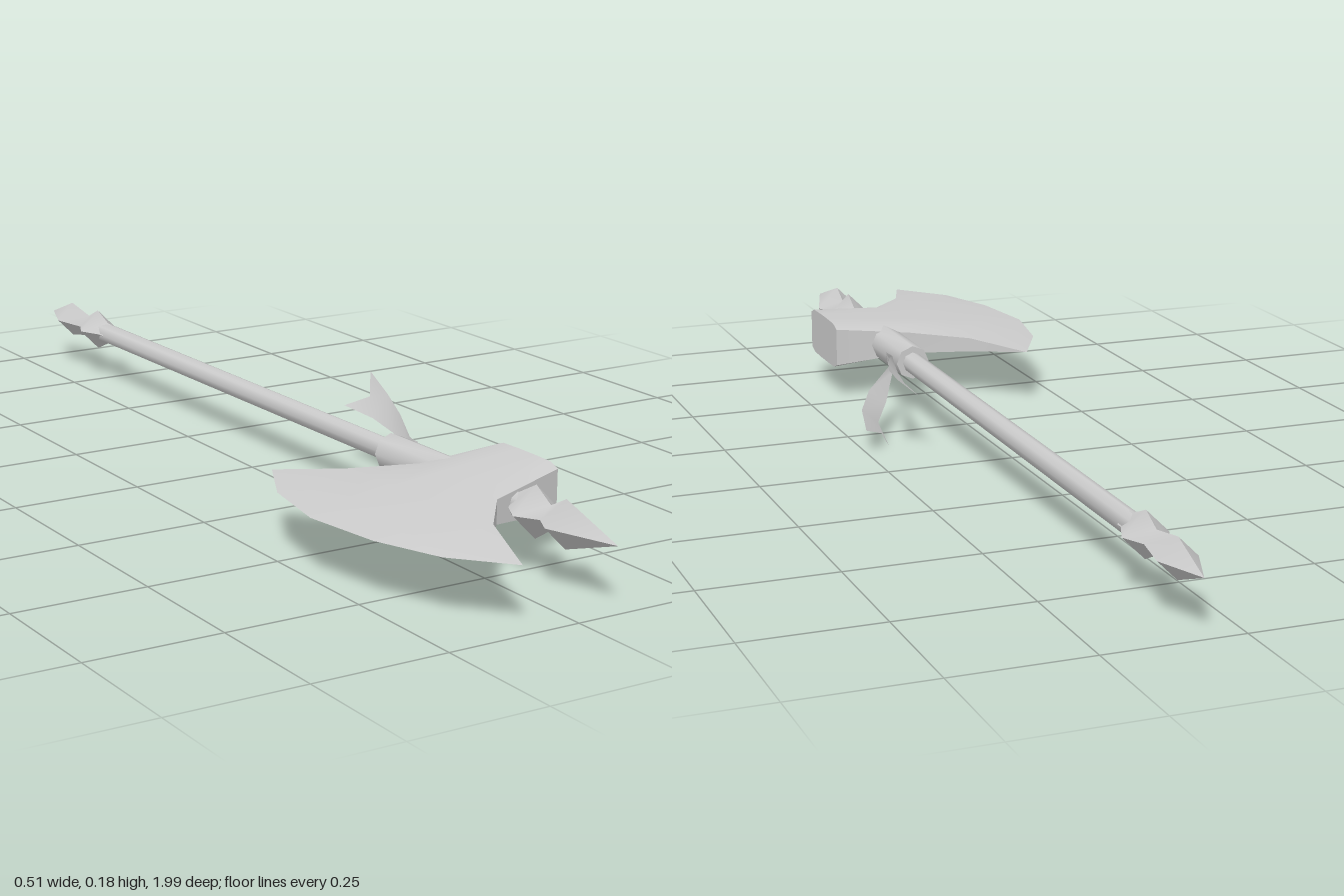
import * as THREE from 'three';
import { toCreasedNormals } from 'three/addons/utils/BufferGeometryUtils.js';

const AXIS_X = 0.077, AXIS_Y = 0.107;
const metal = new THREE.MeshStandardMaterial({ color: 0xcccccc });
const cloth = new THREE.MeshStandardMaterial({ color: 0xcccccc, side: THREE.DoubleSide });

function addMesh(parent, name, geometry, material = metal) {
  const mesh = new THREE.Mesh(geometry, material);
  mesh.name = name;
  parent.add(mesh);
  return mesh;
}

function buildGeometry(points, index) {
  const g = new THREE.BufferGeometry();
  g.setAttribute('position', new THREE.Float32BufferAttribute(points.flat(), 3));
  g.setIndex(index);
  return g;
}

// Turned piece along z; profile is a list of [radius, z] with z increasing
function turned(profile, sides) {
  const g = new THREE.LatheGeometry(profile.map(([r, z]) => new THREE.Vector2(r, z)), sides);
  return toCreasedNormals(g.rotateX(Math.PI / 2), 0.9);
}

// Axe head: columns run from the cutting edge to the butt, each a row of [x, z, half thickness]
function axeHead() {
  const columns = [
    [[-0.167, 0.345, 0], [-0.23, 0.466, 0], [-0.257, 0.614, 0], [-0.235, 0.767, 0], [-0.188, 0.89, 0], [-0.103, 0.985, 0]],
    [[-0.167, 0.345, 0], [-0.185, 0.47, 0.008], [-0.195, 0.614, 0.008], [-0.185, 0.767, 0.008], [-0.155, 0.88, 0.008], [-0.103, 0.985, 0]],
    [[-0.08, 0.445, 0.014], [-0.08, 0.51, 0.018], [-0.08, 0.59, 0.02], [-0.072, 0.68, 0.02], [-0.06, 0.77, 0.018], [-0.05, 0.836, 0.016]],
    [[0.034, 0.508, 0.022], [0.034, 0.54, 0.03], [0.034, 0.59, 0.032], [0.032, 0.65, 0.032], [0.028, 0.71, 0.03], [0.024, 0.746, 0.022]],
    [[0.185, 0.524, 0.038], [0.185, 0.545, 0.046], [0.185, 0.59, 0.047], [0.185, 0.635, 0.047], [0.185, 0.68, 0.046], [0.185, 0.7, 0.038]],
  ];
  const rows = columns[0].length, last = columns.length - 1, half = columns.length * rows;
  const points = [], index = [];
  for (const s of [1, -1])
    for (const col of columns) for (const [x, z, h] of col) points.push([x, 0.11 + s * h, z]);
  const at = (j, i) => j * rows + i;
  // Upper and lower cheeks
  for (let j = 0; j < last; j++)
    for (let i = 0; i < rows - 1; i++) {
      const a = at(j, i), b = at(j, i + 1), c = at(j + 1, i + 1), d = at(j + 1, i);
      index.push(a, b, d, b, c, d);
      index.push(a + half, d + half, b + half, b + half, d + half, c + half);
    }
  // Walls along both concave sides and across the butt
  const wall = (a, b) => index.push(a, b, b + half, a, b + half, a + half);
  for (let j = 0; j < last; j++) {
    wall(at(j, 0), at(j + 1, 0));
    wall(at(j + 1, rows - 1), at(j, rows - 1));
  }
  for (let i = rows - 1; i > 0; i--) wall(at(last, i - 1), at(last, i));
  return toCreasedNormals(buildGeometry(points, index), 0.5);
}

// Swallow-tailed ribbon: pairs of edge points, then a notch point between the last pair
function ribbon(pairs, notch) {
  const n = pairs.length, index = [];
  for (let i = 0; i < n - 2; i++) {
    const a = 2 * i;
    index.push(a, a + 1, a + 2, a + 1, a + 3, a + 2);
  }
  const a = 2 * (n - 2), tip = 2 * n;
  index.push(a, a + 1, tip, a, tip, a + 2, a + 1, a + 3, tip);
  const g = buildGeometry([...pairs.flat(), notch], index);
  g.computeVertexNormals();
  return g;
}

export function createModel() {
  const model = new THREE.Group();
  model.name = 'battleAxe';

  // Pole with its collar and pointed ends
  const pole = new THREE.Group();
  pole.name = 'pole';
  pole.position.set(AXIS_X, AXIS_Y, 0);
  pole.rotation.x = -0.006;
  model.add(pole);
  addMesh(pole, 'shaft', turned([[0.021, -0.75], [0.021, 0.75]], 8));
  addMesh(pole, 'collar', turned([[0.02, 0.355], [0.034, 0.355], [0.034, 0.56], [0.02, 0.56]], 8));
  addMesh(pole, 'frontSpike', turned(
    [[0.022, 0.72], [0.022, 0.735], [0.047, 0.782], [0.022, 0.822], [0.043, 0.862], [0, 0.995]], 4));
  addMesh(pole, 'rearSpike', turned(
    [[0, -1], [0.036, -0.905], [0.022, -0.825], [0.042, -0.783], [0.022, -0.735], [0.022, -0.72]], 4));

  addMesh(model, 'axeHead', axeHead());

  // Two ribbons trailing from the collar
  addMesh(model, 'upperRibbon', ribbon([
    [[0.107, 0.114, 0.44], [0.107, 0.108, 0.44]],
    [[0.122, 0.128, 0.35], [0.118, 0.112, 0.35]],
    [[0.155, 0.147, 0.27], [0.138, 0.115, 0.27]],
    [[0.188, 0.16, 0.18], [0.155, 0.118, 0.18]],
    [[0.222, 0.176, 0.07], [0.16, 0.118, 0.075]],
  ], [0.188, 0.142, 0.12]), cloth);
  addMesh(model, 'lowerRibbon', ribbon([
    [[0.107, 0.114, 0.44], [0.107, 0.108, 0.44]],
    [[0.13, 0.107, 0.35], [0.122, 0.095, 0.35]],
    [[0.2, 0.086, 0.265], [0.165, 0.058, 0.265]],
    [[0.238, 0.068, 0.195], [0.2, 0.035, 0.21]],
    [[0.255, 0.05, 0.115], [0.196, 0, 0.155]],
  ], [0.208, 0.026, 0.165]), cloth);

  return model;
}
